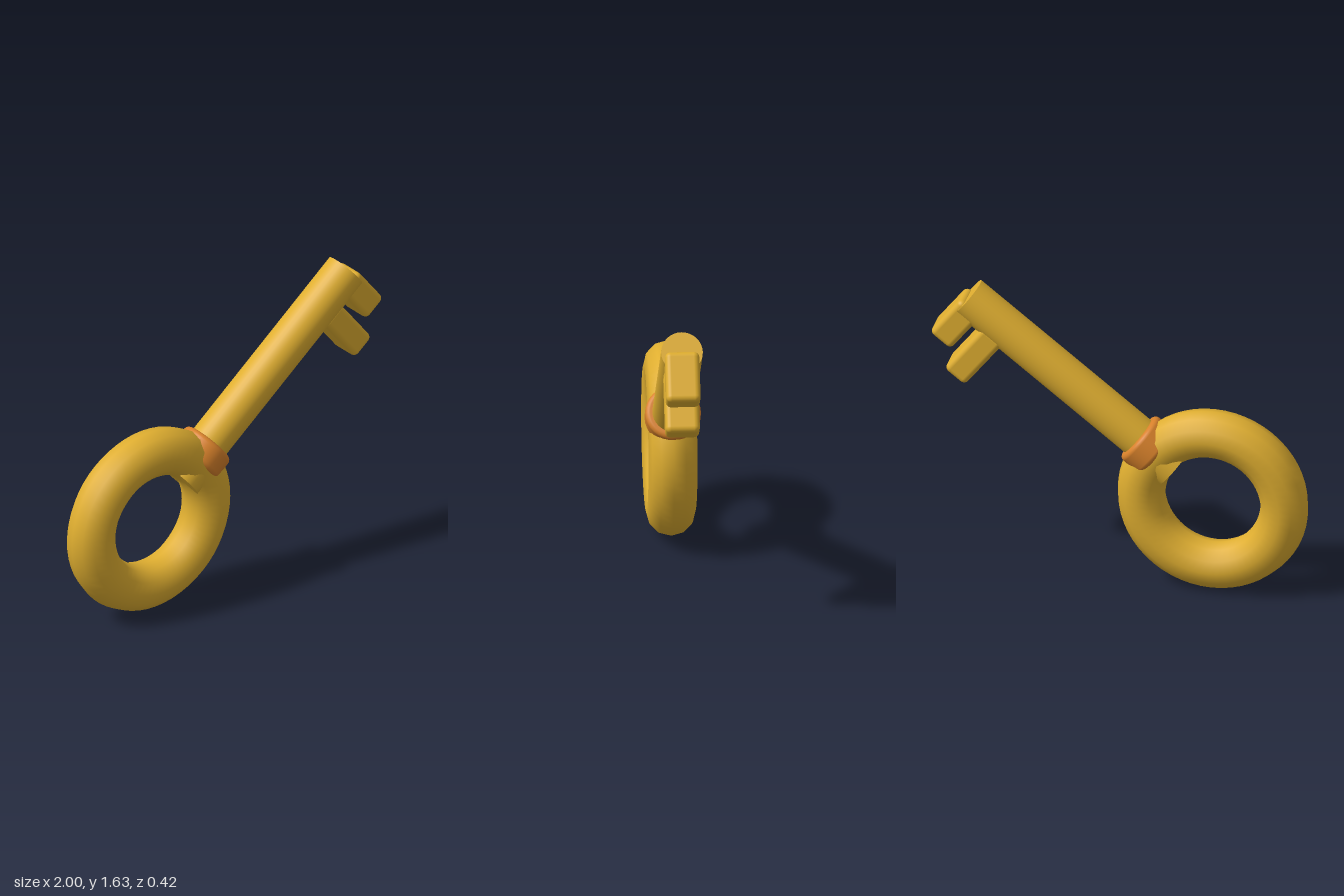
import * as THREE from 'three';
import { RoundedBoxGeometry } from 'three/addons/geometries/RoundedBoxGeometry.js';

export function createModel() {
  const gold = new THREE.MeshStandardMaterial({ color: 0xdfae30 });
  gold.name = 'gold';
  const orange = new THREE.MeshStandardMaterial({ color: 0xd9822b });
  orange.name = 'orange';

  // The key is built along local +x from the middle of its ring, then tilted.
  const key = new THREE.Group();
  key.name = 'key';

  function add(name, geometry, material, x = 0, y = 0) {
    const mesh = new THREE.Mesh(geometry, material);
    mesh.name = name;
    mesh.position.set(x, y, 0);
    key.add(mesh);
    return mesh;
  }

  // Cylinder lying on the key's axis between two distances
  function rod(name, radius, from, to) {
    const geometry = new THREE.CylinderGeometry(radius, radius, to - from, 32);
    geometry.rotateZ(-Math.PI / 2);
    add(name, geometry, gold, (from + to) / 2);
  }

  // Bit block given by its extent along the axis and below it
  function bit(name, x0, x1, y0, y1) {
    const geometry = new RoundedBoxGeometry(x1 - x0, y1 - y0, 0.18, 4, 0.03);
    add(name, geometry, gold, (x0 + x1) / 2, (y0 + y1) / 2);
  }

  // Handle ring
  add('ring', new THREE.TorusGeometry(0.383, 0.128, 12, 56), gold);

  // Shaft, with its root poking through the inside of the ring
  rod('shaftRoot', 0.119, 0.263, 0.45);
  rod('shaft', 0.109, 0.4, 1.67);

  // Rounded collar where shaft and ring meet
  const inner = 0.1, outer = 0.146, half = 0.068, round = 0.026;
  const profile = [new THREE.Vector2(inner, -half)];
  for (const side of [-1, 1]) {
    for (let i = 0; i <= 5; i++) {
      const a = (side < 0 ? i - 5 : i) / 5 * Math.PI / 2;
      profile.push(new THREE.Vector2(
        outer - round + round * Math.cos(a),
        side * (half - round) + round * Math.sin(a)));
    }
  }
  profile.push(new THREE.Vector2(inner, half));
  const collar = new THREE.LatheGeometry(profile, 32);
  collar.rotateZ(-Math.PI / 2);
  add('collar', collar, orange, 0.446);

  // Two bits below the tip
  bit('longBit', 1.37, 1.512, -0.385, -0.04);
  bit('shortBit', 1.555, 1.7, -0.272, 0.0);

  key.rotation.set(0, 0.108, 0.664, 'YXZ');
  key.position.set(-0.49, 0.511, 0.04);

  const model = new THREE.Group();
  model.name = 'keyModel';
  model.add(key);
  return model;
}
